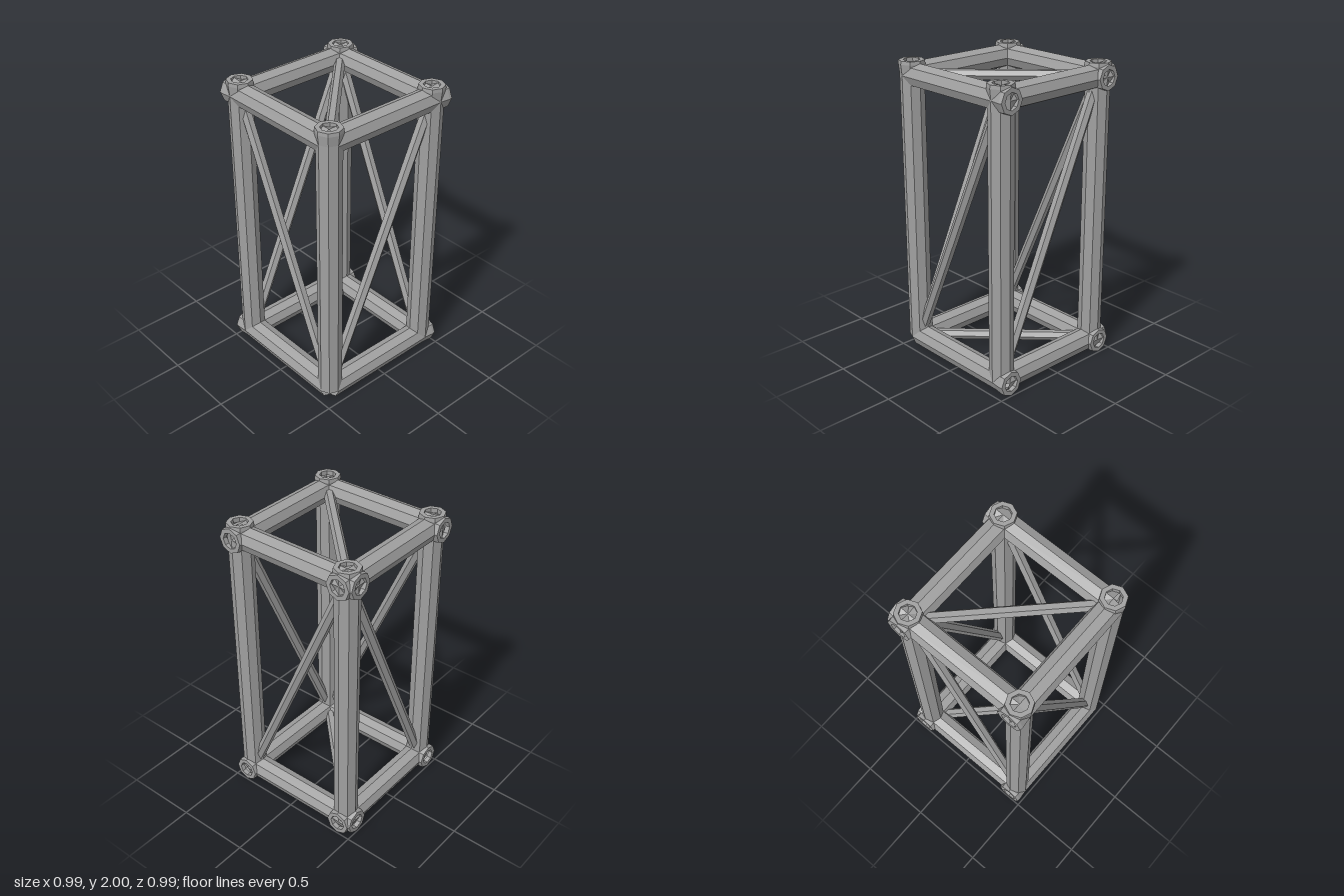
import * as THREE from 'three';

// Corner centre lines: [start, far corner, open collar end] along each axis
const X = { start: -0.41, far: 0.403, end: 0.495 };
const Y = { start: 0.09, far: 1.908, end: 2.0 };
const Z = { start: 0.41, far: -0.404, end: -0.497 };
const UP = new THREE.Vector3(0, 1, 0);

function flat(geometry) {
  const g = geometry.toNonIndexed();
  g.computeVertexNormals();
  return g;
}

export function createModel() {
  const group = new THREE.Group();
  const steel = new THREE.MeshStandardMaterial({ color: 0xa0a0a0, side: THREE.DoubleSide });
  steel.name = 'grey steel';

  // Hollow octagonal tube, open at its start, flared into a ringed collar at its end
  function tube(name, from, to) {
    const dir = to.clone().sub(from);
    const len = dir.length();
    const profile = [
      [0.078, 0], [0.078, len - 0.085], [0.085, len - 0.022], [0.082, len],
      [0.053, len], [0.053, len - 0.03],
    ].map(([r, y]) => new THREE.Vector2(r, y));
    const mesh = new THREE.Mesh(flat(new THREE.LatheGeometry(profile, 8)), steel);
    mesh.name = name;
    mesh.position.copy(from);
    mesh.quaternion.setFromUnitVectors(UP, dir.normalize());
    group.add(mesh);
  }

  // Thin hexagonal brace with one edge turned level to the side
  function brace(name, from, to) {
    const dir = to.clone().sub(from);
    const len = dir.length();
    dir.normalize();
    const side = new THREE.Vector3().crossVectors(dir, UP).normalize();
    const third = new THREE.Vector3().crossVectors(side, dir);
    const mesh = new THREE.Mesh(flat(new THREE.CylinderGeometry(0.036, 0.036, len, 6, 1, true)), steel);
    mesh.name = name;
    mesh.position.copy(from).add(to).multiplyScalar(0.5);
    // Cylinder vertices start on local z, so z follows the level side direction
    mesh.quaternion.setFromRotationMatrix(new THREE.Matrix4().makeBasis(third.negate(), dir, side));
    group.add(mesh);
  }

  const v = (x, y, z) => new THREE.Vector3(x, y, z);

  // Four tubes along each axis
  for (const a of ['start', 'far']) {
    for (const b of ['start', 'far']) {
      tube('column', v(X[a], Y.start, Z[b]), v(X[a], Y.end, Z[b]));
      tube('crossBeam', v(X.start, Y[a], Z[b]), v(X.end, Y[a], Z[b]));
      tube('sideBeam', v(X[a], Y[b], Z.start), v(X[a], Y[b], Z.end));
    }
  }

  // One diagonal on each of the six faces
  for (const a of ['start', 'far']) {
    brace('faceBrace', v(X.start, Y.start, Z[a]), v(X.far, Y.far, Z[a]));
    brace('sideBrace', v(X[a], Y.start, Z.start), v(X[a], Y.far, Z.far));
    brace('levelBrace', v(X.start, Y[a], Z.start), v(X.far, Y[a], Z.far));
  }

  return group;
}
